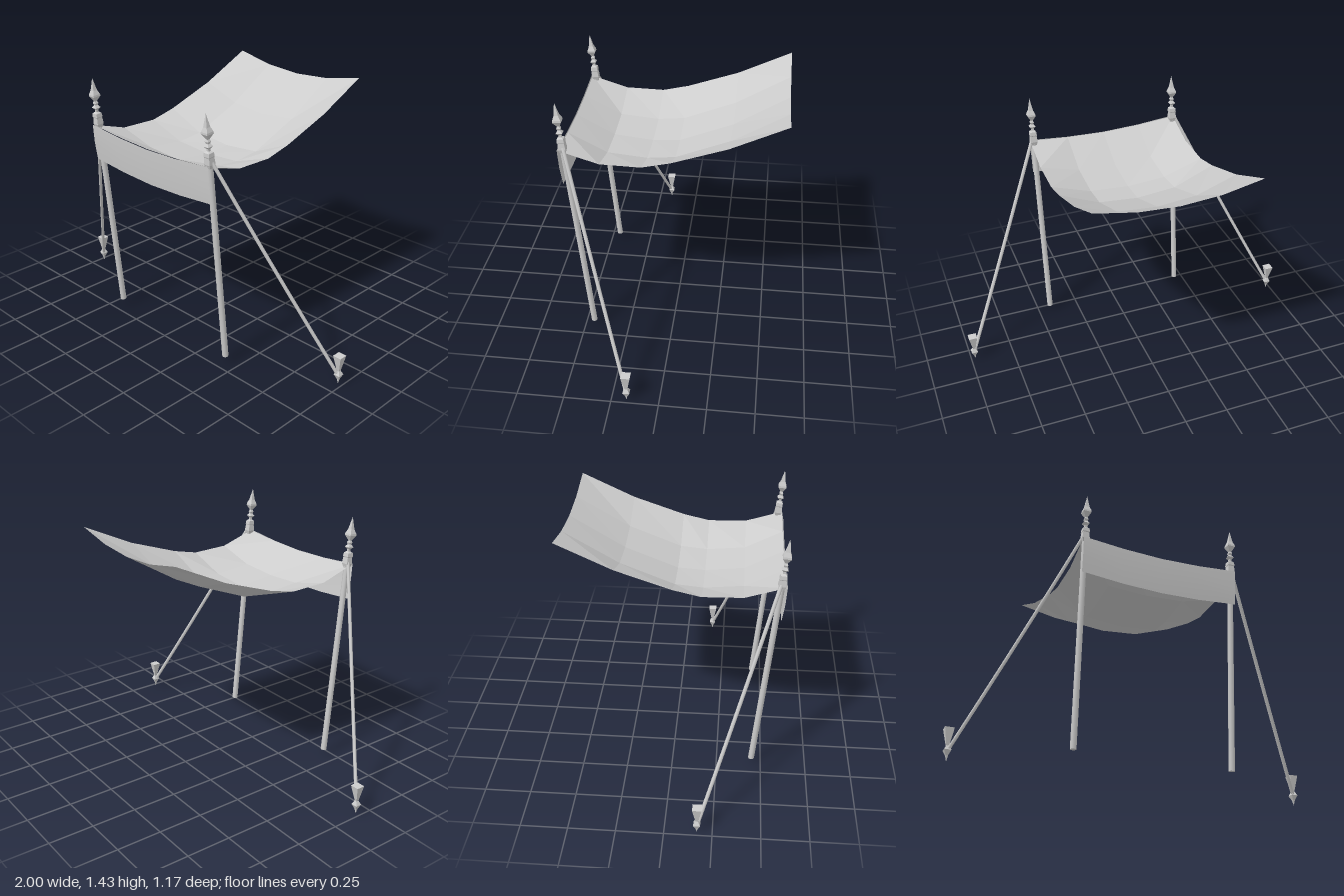
import * as THREE from 'three';

const POLE_X = 0.43;
const TILT = 0.092; // forward lean of the poles

// Grid of quads from rows of points; each row runs left to right
function sheet(rows, flat) {
  const n = rows[0].length, pos = [], idx = [];
  rows.forEach(r => r.forEach(p => pos.push(...p)));
  for (let j = 0; j < rows.length - 1; j++) {
    for (let i = 0; i < n - 1; i++) {
      const a = j * n + i, b = a + 1, c = a + n, d = c + 1;
      idx.push(a, c, d, a, d, b);
    }
  }
  let g = new THREE.BufferGeometry();
  g.setAttribute('position', new THREE.Float32BufferAttribute(pos, 3));
  g.setIndex(idx);
  if (flat) g = g.toNonIndexed();
  g.computeVertexNormals();
  return g;
}

// Four-sided turned shape; profile holds [half width, height]
function squareLathe(profile) {
  const pts = profile.map(([w, y]) => new THREE.Vector2(w * Math.SQRT2, y));
  const g = new THREE.LatheGeometry(pts, 4).rotateY(Math.PI / 4).toNonIndexed();
  g.computeVertexNormals();
  return g;
}

export function createModel() {
  const model = new THREE.Group();
  model.name = 'awning';
  const grey = new THREE.MeshStandardMaterial({ color: 0xcccccc, side: THREE.DoubleSide });
  grey.name = 'light grey';
  const add = (parent, name, geo) => {
    const m = new THREE.Mesh(geo, grey);
    m.name = name;
    parent.add(m);
    return m;
  };

  // Sagging canopy: [z, height at side, height at quarter, height at middle]
  const xs = [-0.445, -0.22, 0, 0.22, 0.445];
  const sections = [
    [-0.587, 1.37, 1.325, 1.31],
    [-0.29, 1.23, 1.15, 1.13],
    [0, 1.13, 1.035, 1.015],
    [0.15, 1.095, 1.02, 1.005],
    [0.365, 1.1, 1.04, 1.028],
    [0.572, 1.165, 1.148, 1.14],
  ];
  // rows run back to front, so the diagonals go from front left to back right
  const rows = sections.map(([z, e, q, m]) => xs.map((x, i) => [x, [e, q, m, q, e][i], z]));
  const flipped = rows.map(r => r.slice().reverse());
  add(model, 'canopy', sheet(flipped, true));

  // Front valance hanging from the canopy edge, leaning with the poles
  const drop = (f, z) => xs.map((x, i) => [x, [1.168, 1.148, 1.14, 1.148, 1.168][i] - 0.2 * f, z]);
  add(model, 'valance', sheet([drop(0, 0.578), drop(0.5, 0.572), drop(1, 0.558)], false));

  const finialProfile = [
    [0.014, -0.02], [0.02, 0], [0.017, 0.035], [0.019, 0.04], [0.017, 0.06],
    [0.007, 0.068], [0.007, 0.08], [0.017, 0.092], [0.007, 0.106],
    [0.011, 0.117], [0.006, 0.128], [0.022, 0.157], [0.021, 0.167],
    [0.012, 0.19], [0, 0.258],
  ];
  const stakeProfile = [
    [0, 0], [0.006, 0.03], [0.018, 0.057], [0.007, 0.08], [0.024, 0.17], [0, 0.17],
  ];

  for (const s of [1, -1]) {
    const side = s > 0 ? 'left' : 'right';

    // Leaning pole with its finial
    const post = new THREE.Group();
    post.name = side + 'Post';
    post.position.set(s * POLE_X, 0.045, 0.446);
    post.rotation.x = TILT;
    model.add(post);
    add(post, side + 'Pole', new THREE.CylinderGeometry(0.016, 0.017, 1.14, 8).translate(0, 0.57, 0));
    add(post, side + 'Finial', squareLathe(finialProfile)).position.y = 1.132;

    // Slightly slack guy rope
    const top = new THREE.Vector3(s * 0.435, 1.195, 0.55);
    const end = new THREE.Vector3(s * 0.972, 0.06, 0.175);
    const mid = top.clone().lerp(end, 0.5);
    mid.y -= 0.02;
    const curve = new THREE.QuadraticBezierCurve3(top, mid, end);
    add(model, side + 'Rope', new THREE.TubeGeometry(curve, 5, 0.01, 6));

    // Ground stake
    add(model, side + 'Stake', squareLathe(stakeProfile)).position.set(s * 0.976, 0, 0.17);
  }
  return model;
}
